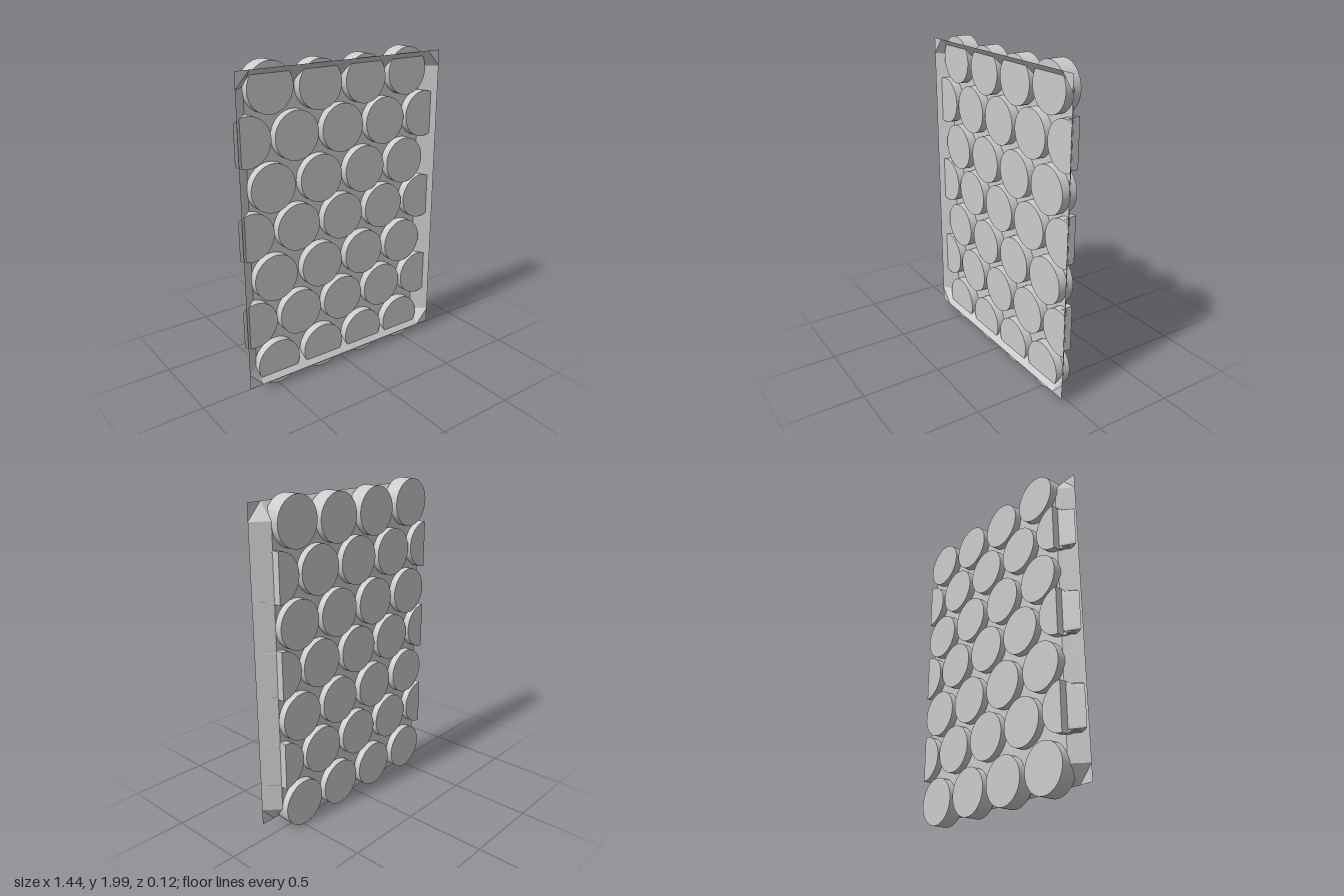
import * as THREE from 'three';
import { toCreasedNormals } from 'three/addons/utils/BufferGeometryUtils.js';

const R = 0.146, FRONT = 0.036, BACK = -0.0625;
const FLOOR = -0.018, LIP = 0.0625;
const MID = 1.009; // height of the tray's middle

const material = new THREE.MeshStandardMaterial({ color: 0xcccccc });
const thin = new THREE.MeshStandardMaterial({ color: 0xcccccc, side: THREE.DoubleSide });

// Surface from flat polygons, each given as a loop of points
function polygons(loops) {
  const out = [];
  for (const p of loops)
    for (let i = 1; i < p.length - 1; i++) out.push(...p[0], ...p[i], ...p[i + 1]);
  const geo = new THREE.BufferGeometry();
  geo.setAttribute('position', new THREE.Float32BufferAttribute(out, 3));
  geo.computeVertexNormals();
  return geo;
}

function add(group, name, geo, mat) {
  const mesh = new THREE.Mesh(geo, mat);
  mesh.name = name;
  group.add(mesh);
  return mesh;
}

// Upright disc; an optional side cut follows the sloped wall, then runs straight back
function disc(x, y, side = 0, frontLimit = 0, backLimit = 0) {
  const geo = new THREE.CylinderGeometry(R, R, FRONT - BACK, 64, 2);
  geo.rotateX(Math.PI / 2);
  const p = geo.attributes.position;
  for (let i = 0; i < p.count; i++) {
    const z = Math.abs(p.getZ(i)) < 0.001 ? FLOOR : p.getZ(i) > 0 ? FRONT : BACK;
    let px = p.getX(i) + x;
    if (side) {
      const limit = z === FRONT ? frontLimit : backLimit;
      px = side * Math.min(side * px, limit);
    }
    p.setXYZ(i, px, p.getY(i) + y, z);
  }
  return toCreasedNormals(geo, 0.5);
}

export function createModel() {
  const model = new THREE.Group();
  model.name = 'discTray';

  // Shallow tray: floor, four sloped walls, cut corners with flat triangular lips
  const tray = new THREE.Group();
  tray.name = 'tray';
  model.add(tray);
  const xi = 0.627, xo = 0.717, yi = 0.857, yo = 0.955;
  add(tray, 'trayFloor', polygons([
    [[-xi, -yi, FLOOR], [xi, -yi, FLOOR], [xi, yi, FLOOR], [-xi, yi, FLOOR]],
  ]), thin);
  for (const s of [1, -1]) {
    add(tray, 'sideWall', polygons([
      [[s * xi, -s * yi, FLOOR], [s * xo, -s * yi, LIP], [s * xo, s * yi, LIP], [s * xi, s * yi, FLOOR]],
    ]), thin);
    add(tray, 'endWall', polygons([
      [[s * xi, s * yi, FLOOR], [s * xi, s * yo, LIP], [-s * xi, s * yo, LIP], [-s * xi, s * yi, FLOOR]],
    ]), thin);
    for (const t of [1, -1]) {
      const a = [s * xo, t * yi, LIP], b = [s * xi, t * yo, LIP];
      const inner = [s * xi, t * yi, FLOOR], outer = [s * xo, t * yo, LIP];
      const loops = [[inner, a, b], [a, outer, b]];
      if (s * t < 0) loops.forEach((l) => l.reverse());
      add(tray, 'trayCorner', polygons(loops), thin);
    }
  }
  tray.position.set(0.004, MID, 0);

  // Seven staggered rows of discs
  const discs = new THREE.Group();
  discs.name = 'discs';
  model.add(discs);
  const rows = [0.152, 0.447, 0.725, 1.01, 1.283, 1.565, 1.852];
  rows.forEach((y, r) => {
    if (r % 2 === 0) {
      [-0.486, -0.156, 0.167, 0.486].forEach((x, i) => {
        const dy = r === 6 && (i === 1 || i === 2) ? -0.016 : 0;
        add(discs, 'disc', disc(x, y + dy), material);
      });
    } else {
      for (const x of [-0.32, 0, 0.32]) add(discs, 'disc', disc(x, y), material);
      // End discs, cut along the side walls
      add(discs, 'rightEndDisc', disc(-0.637, y + 0.004, -1, 0.722, 0.637), material);
      add(discs, 'leftEndDisc', disc(0.632, y + 0.004, 1, 0.693, 0.632), material);
    }
  });
  return model;
}
